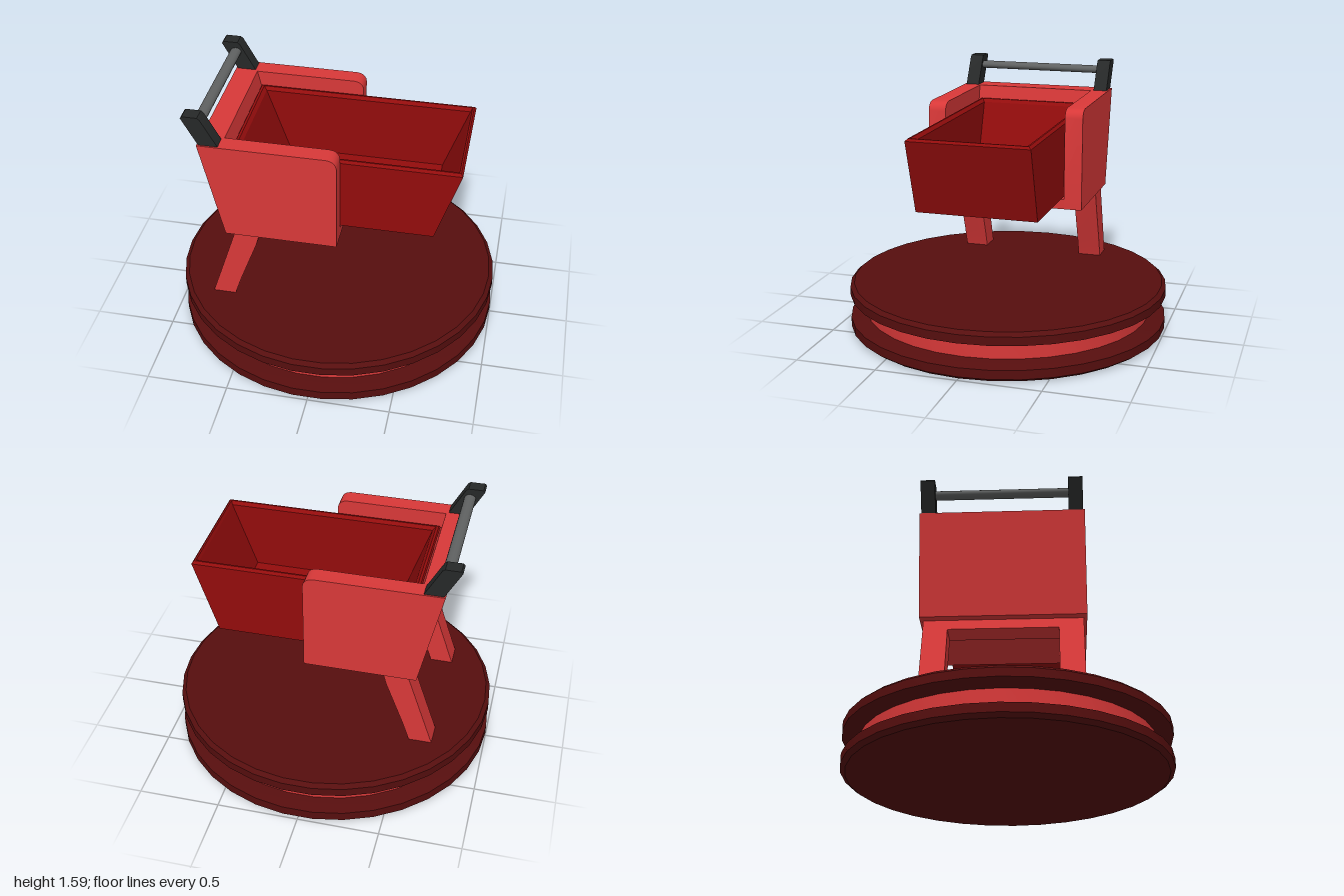
import * as THREE from 'three';
import { toCreasedNormals } from 'three/addons/utils/BufferGeometryUtils.js';

const material = (name, color) => {
  const m = new THREE.MeshStandardMaterial({ color });
  m.name = name;
  return m;
};

// Extrudes a side outline (x, y) from z0 to z1.
function slab(shape, z0, z1) {
  const s = Array.isArray(shape) ? new THREE.Shape(shape.map(p => new THREE.Vector2(...p))) : shape;
  const g = new THREE.ExtrudeGeometry(s, { depth: z1 - z0, bevelEnabled: false, curveSegments: 5 });
  g.translate(0, 0, z0);
  return toCreasedNormals(g, 0.5);
}

// Turns an (r, y) outline around y, with a corner pointing along +x.
function turned(points) {
  const g = new THREE.LatheGeometry(points.map(p => new THREE.Vector2(...p)), 34);
  g.rotateY(Math.PI / 2);
  return toCreasedNormals(g, 0.3);
}

// Skins rectangular rings [x0, x1, halfDepth, y], closing the first and last.
function rectLoft(rings) {
  const pos = [];
  const loops = rings.map(([x0, x1, z, y]) => [[x0, y, z], [x1, y, z], [x1, y, -z], [x0, y, -z]]);
  const quad = (a, b, c, d) => pos.push(...a, ...b, ...c, ...a, ...c, ...d);
  for (let i = 0; i + 1 < loops.length; i++) {
    const a = loops[i], b = loops[i + 1];
    for (let k = 0; k < 4; k++) quad(a[k], a[(k + 1) % 4], b[(k + 1) % 4], b[k]);
  }
  quad(...[...loops[0]].reverse());
  quad(...loops[loops.length - 1]);
  const g = new THREE.BufferGeometry();
  g.setAttribute('position', new THREE.Float32BufferAttribute(pos, 3));
  g.computeVertexNormals();
  return g;
}

export function createModel() {
  const model = new THREE.Group();
  const red = material('bright red', 0xd83838);
  const deepRed = material('deep red', 0x930c0c);
  const maroon = material('maroon', 0x560e0e);
  const black = material('black', 0x262828);
  const grey = material('grey', 0x606262);

  const add = (name, geometry, mat, parent = model) => {
    const mesh = new THREE.Mesh(geometry, mat);
    mesh.name = name;
    parent.add(mesh);
    return mesh;
  };

  // Round base: two bevelled discs around a narrower drum
  add('lowerDisc', turned([[0, 0], [0.97, 0], [1, 0.022], [1, 0.078], [0.9, 0.105], [0, 0.105]]), maroon);
  add('drum', turned([[0.9, 0.1], [0.9, 0.205]]), red);
  add('upperDisc', turned([[0, 0.2], [0.9, 0.2], [1, 0.225], [1, 0.278], [0.975, 0.3], [0, 0.3]]), maroon);

  // Bent legs joined by a cross beam under the body
  const legs = new THREE.Group();
  legs.name = 'legs';
  model.add(legs);
  const legOutline = [[-0.71, 0.3], [-0.57, 0.3], [-0.53, 0.42], [-0.42, 0.71], [-0.395, 0.8], [-0.545, 0.8], [-0.565, 0.74]];
  add('leftLeg', slab(legOutline, 0.325, 0.47), red, legs);
  add('rightLeg', slab(legOutline, -0.47, -0.325), red, legs);
  add('crossBeam', slab([[-0.573, 0.72], [-0.423, 0.72], [-0.395, 0.8], [-0.545, 0.8]], -0.325, 0.325), red, legs);

  // Body: two side walls with a rounded front corner, a leaning back and a floor
  const body = new THREE.Group();
  body.name = 'body';
  model.add(body);
  const side = new THREE.Shape();
  side.moveTo(-0.6, 0.79);
  side.lineTo(0.08, 0.79);
  side.lineTo(0.08, 1.355);
  side.quadraticCurveTo(0.075, 1.405, 0.02, 1.41);
  side.lineTo(-0.74, 1.41);
  side.closePath();
  add('leftWall', slab(side, 0.38, 0.49), red, body);
  add('rightWall', slab(side, -0.49, -0.38), red, body);
  add('backWall', slab([[-0.6, 0.79], [-0.46, 0.79], [-0.6, 1.41], [-0.74, 1.41]], -0.38, 0.38), red, body);
  add('floor', slab([[-0.6, 0.79], [0.08, 0.79], [0.08, 0.852], [-0.614, 0.852]], -0.38, 0.38), red, body);

  // Open basket with sloping ends and a chamfered rim
  add('basket', rectLoft([
    [-0.43, 0.64, 0.37, 0.862],
    [-0.573, 0.787, 0.37, 1.315],
    [-0.565, 0.775, 0.355, 1.33],
    [-0.55, 0.765, 0.345, 1.33],
    [-0.53, 0.755, 0.327, 1.31],
    [-0.385, 0.605, 0.327, 0.89],
  ]), deepRed);

  // Push handle: leaning brackets and an oval bar
  const handle = new THREE.Group();
  handle.name = 'handle';
  model.add(handle);
  const bracket = [[-0.725, 1.4], [-0.61, 1.4], [-0.71, 1.58], [-0.725, 1.592], [-0.815, 1.592], [-0.825, 1.58]];
  add('leftBracket', slab(bracket, 0.395, 0.48), black, handle);
  add('rightBracket', slab(bracket, -0.48, -0.395), black, handle);
  const bar = new THREE.CylinderGeometry(1, 1, 0.8, 12, 1, true);
  bar.rotateX(Math.PI / 2);
  bar.scale(0.035, 0.025, 1);
  bar.translate(-0.737, 1.53, 0);
  add('handleBar', bar, grey, handle);

  return model;
}
